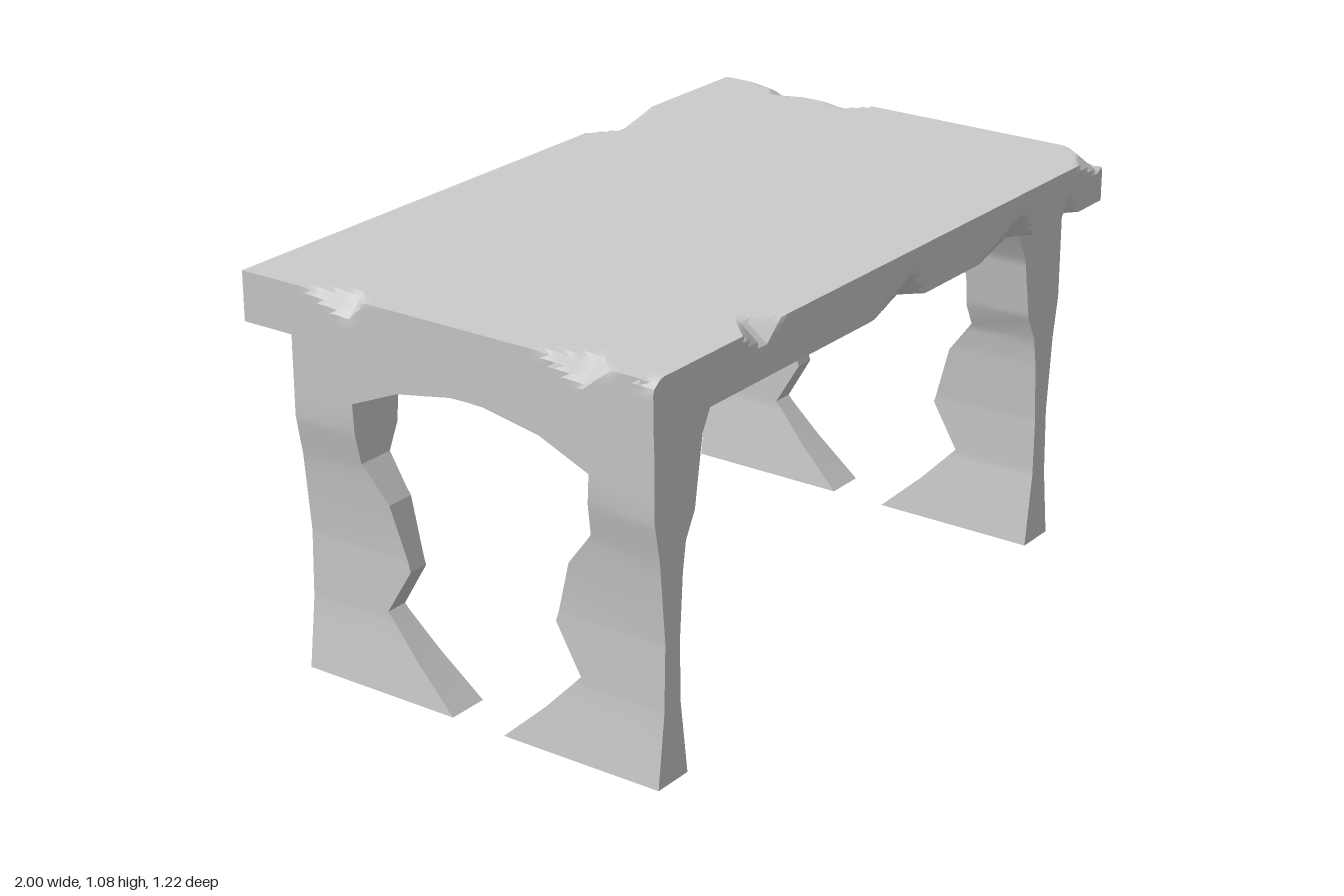
import * as THREE from 'three';
import { toCreasedNormals } from 'three/addons/utils/BufferGeometryUtils.js';

const material = new THREE.MeshStandardMaterial({ color: 0xcccccc });

// Piecewise-linear lookup in [y, value] pairs
function lookup(points, y) {
  for (let i = 1; i < points.length; i++) {
    const [y0, a] = points[i - 1], [y1, b] = points[i];
    if (y <= y1) return a + (b - a) * (y - y0) / (y1 - y0);
  }
  return points[points.length - 1][1];
}

// Slab size and position
const HX = 1, HZ = 0.61, BOTTOM = 0.95, TOP = 1.08;

// Chips: edge direction, side, top/bottom, start, deepest point, end, inset, height
const CHIPS = [
  ['x', 1, 1, -0.66, -0.57, -0.49, 0.08, 0.06],
  ['x', 1, -1, -0.11, 0.07, 0.12, 0.05, 0.075],
  ['x', 1, -1, 0.38, 0.59, 0.65, 0.05, 0.08],
  ['x', 1, -1, 0.79, 0.83, 0.87, 0.03, 0.07],
  ['x', 1, 1, 0.86, 0.98, 1.05, 0.07, 0.05],
  ['x', -1, 1, 0.35, 0.43, 0.64, 0.06, 0.06],
  ['x', -1, -1, 0.22, 0.32, 0.38, 0.05, 0.06],
  ['x', -1, -1, -0.68, -0.48, -0.4, 0.05, 0.06],
  ['z', 1, 1, -0.52, -0.18, -0.12, 0.05, 0.08],
  ['z', 1, 1, -0.46, -0.41, -0.2, 0.07, 0.025],
  ['z', 1, 1, 0.5, 0.59, 0.66, 0.07, 0.05],
  ['z', 1, -1, 0.18, 0.22, 0.36, 0.04, 0.07],
  ['z', -1, 1, -0.42, -0.28, -0.23, 0.06, 0.06],
  ['z', -1, 1, 0.28, 0.41, 0.5, 0.07, 0.06],
  ['z', -1, 1, 0.56, 0.6, 0.64, 0.04, 0.03],
];

function makeTop() {
  const geometry = new THREE.BoxGeometry(2 * HX, TOP - BOTTOM, 2 * HZ, 100, 8, 62);
  geometry.translate(0, (TOP + BOTTOM) / 2, 0);
  const pos = geometry.attributes.position;
  const v = new THREE.Vector3();
  for (let i = 0; i < pos.count; i++) {
    v.fromBufferAttribute(pos, i);
    for (const [axis, side, up, start, peak, end, inset, height] of CHIPS) {
      const t = v[axis];
      if (t <= start || t >= end) continue;
      const scale = t < peak ? (t - start) / (peak - start) : (end - t) / (end - peak);
      const across = axis === 'x' ? 'z' : 'x';
      const half = axis === 'x' ? HZ : HX;
      const du = inset * scale, dw = height * scale;
      const u = half - side * v[across];
      const w = up > 0 ? TOP - v.y : v.y - BOTTOM;
      const cut = 1 - u / du - w / dw;
      // Push points beyond the break plane back onto it
      if (cut > 0) {
        v[across] -= side * cut * du / 2;
        v.y -= up * cut * dw / 2;
      }
    }
    pos.setXYZ(i, v.x, v.y, v.z);
  }
  const mesh = new THREE.Mesh(toCreasedNormals(geometry, 0.4), material);
  mesh.name = 'chippedTop';
  return mesh;
}

// Thickness profile of the leg panels
const OUTER = [[0, 0.9], [0.19, 0.876], [0.37, 0.871], [0.58, 0.89], [0.69, 0.91], [0.95, 0.91]];
const INNER = [[0, 0.785], [0.2, 0.812], [0.36, 0.814], [0.53, 0.802], [0.605, 0.79],
  [0.67, 0.755], [0.85, 0.725], [0.95, 0.67]];
// Edge of the opening, ending at the crown of the arch
const OPENING = [[0, 0.08], [0.11, 0.2], [0.215, 0.3], [0.34, 0.225], [0.51, 0.275], [0.605, 0.35],
  [0.765, 0.358], [0.825, 0.215], [0.855, 0.05], [0.856, 0], [0.95, 0]];
const LEG_DEPTH = 0.545;

// Half of a leg panel lofted from rectangles, mirrored by sx and sz
function makeLeg(sx, sz) {
  const levels = [...new Set([...OUTER, ...INNER, ...OPENING].map(p => p[0]))].sort((a, b) => a - b);
  const vertices = [], index = [];
  const flip = sx * sz < 0;
  const quad = (a, b, c, d) => index.push(...(flip ? [a, c, b, a, d, c] : [a, b, c, a, c, d]));
  levels.forEach((y, row) => {
    const xo = lookup(OUTER, y), xi = lookup(INNER, y), z = lookup(OPENING, y);
    for (const [x, zz] of [[xi, z], [xi, LEG_DEPTH], [xo, LEG_DEPTH], [xo, z]]) {
      vertices.push(sx * x, y, sz * zz);
    }
    if (row === 0) return;
    const a = (row - 1) * 4, b = row * 4;
    for (let k = 0; k < 4; k++) {
      // The two halves join at z = 0, so no wall is needed there
      if (k === 3 && z === 0 && y > 0.856) continue;
      const n = (k + 1) % 4;
      quad(a + k, a + n, b + n, b + k);
    }
  });
  const last = (levels.length - 1) * 4;
  quad(3, 2, 1, 0);
  quad(last, last + 1, last + 2, last + 3);
  const geometry = new THREE.BufferGeometry();
  geometry.setAttribute('position', new THREE.Float32BufferAttribute(vertices, 3));
  geometry.setIndex(index);
  const mesh = new THREE.Mesh(toCreasedNormals(geometry, 0.35), material);
  mesh.name = (sz > 0 ? 'front' : 'back') + (sx > 0 ? 'Left' : 'Right') + 'Leg';
  return mesh;
}

export function createModel() {
  const group = new THREE.Group();
  group.name = 'table';
  group.add(makeTop());
  // Two arched leg panels, each made of a front and a back half
  for (const sx of [1, -1]) {
    const panel = new THREE.Group();
    panel.name = sx > 0 ? 'leftLegPanel' : 'rightLegPanel';
    for (const sz of [1, -1]) panel.add(makeLeg(sx, sz));
    group.add(panel);
  }
  return group;
}
